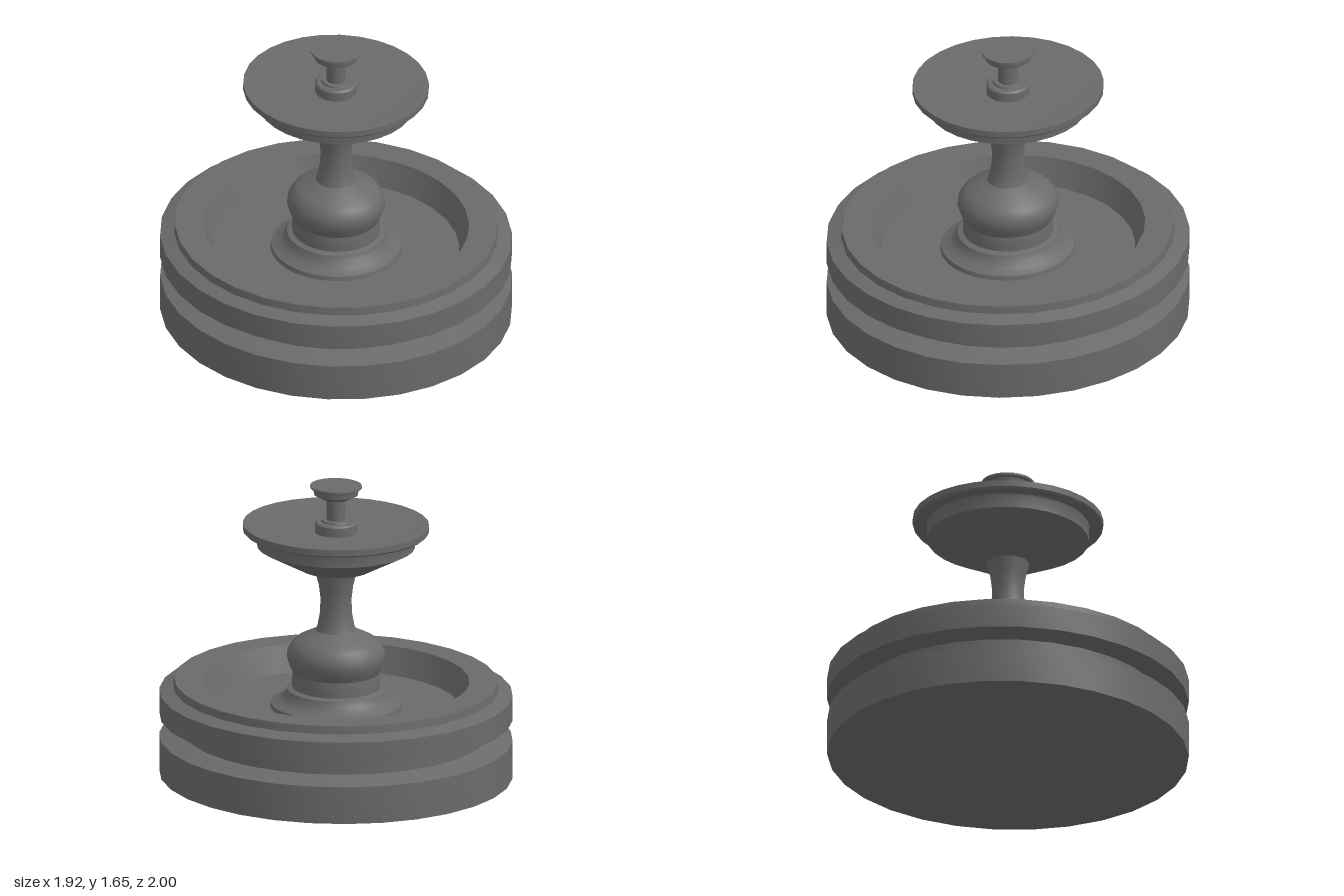
import * as THREE from 'three';
import { toCreasedNormals } from 'three/addons/utils/BufferGeometryUtils.js';

const SIDES = 30;
const X_SCALE = 0.955; // the plan is slightly narrower in x than in z

export function createModel() {
  const group = new THREE.Group();
  group.name = 'fountain';
  const stone = new THREE.MeshStandardMaterial({ color: 0x6a6a6a });
  stone.name = 'grey stone';

  // Turned part from a [radius, y] profile, listed from the underside outwards and up
  function turned(name, profile) {
    const points = profile.map(([r, y]) => new THREE.Vector2(r, y));
    const lathe = new THREE.LatheGeometry(points, SIDES, Math.PI / 2);
    lathe.scale(X_SCALE, 1, 1);
    const mesh = new THREE.Mesh(toCreasedNormals(lathe, 0.55), stone);
    mesh.name = name;
    group.add(mesh);
  }

  // Wide pool with a grooved wall and a sunken floor
  turned('basin', [
    [0, 0], [1.005, 0], [1.005, 0.21], [0.875, 0.245], [0.875, 0.31],
    [1.005, 0.33], [1.005, 0.465], [0.925, 0.49], [0.92, 0.535],
    [0.76, 0.535], [0.705, 0.385], [0, 0.385],
  ]);

  // Stepped foot, round bulb and waisted column
  turned('pedestal', [
    [0.375, 0.385], [0.37, 0.41], [0.32, 0.43], [0.29, 0.46], [0.28, 0.49],
    [0.25, 0.5], [0.25, 0.55], [0.245, 0.585], [0.265, 0.625], [0.28, 0.67],
    [0.275, 0.71], [0.25, 0.75], [0.22, 0.775], [0.115, 0.825], [0.105, 0.85],
    [0.092, 0.92], [0.088, 1.0], [0.098, 1.08], [0.12, 1.165],
  ]);

  // Upper bowl with a broad lip and a shallow dished top
  turned('upperBowl', [
    [0, 1.16], [0.12, 1.16], [0.2, 1.175], [0.45, 1.305], [0.45, 1.37],
    [0.455, 1.385], [0.52, 1.385], [0.53, 1.395], [0.53, 1.43],
    [0.515, 1.43], [0, 1.37],
  ]);

  // Collar, stem and small cup at the top
  turned('nozzle', [
    [0.12, 1.37], [0.12, 1.435], [0.11, 1.445], [0.085, 1.445],
    [0.08, 1.457], [0.055, 1.457], [0.055, 1.57], [0.075, 1.575],
    [0.125, 1.6], [0.13, 1.63], [0.147, 1.638], [0.147, 1.65],
    [0.135, 1.65], [0, 1.642],
  ]);

  return group;
}
